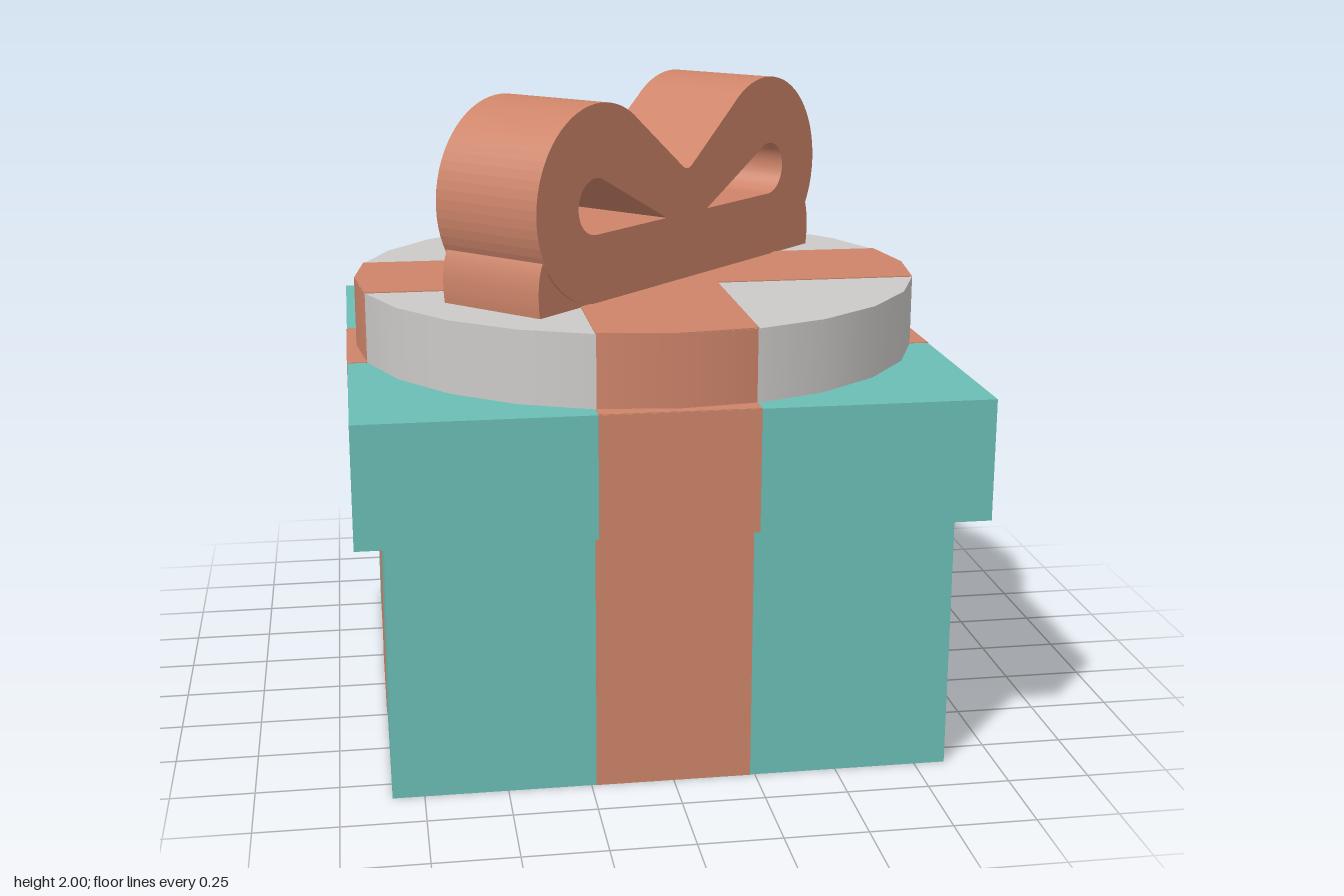
import * as THREE from 'three';

const teal = new THREE.MeshStandardMaterial({ color: 0x6bbdb5 });
teal.name = 'teal paper';
const coral = new THREE.MeshStandardMaterial({ color: 0xcd8469 });
coral.name = 'coral ribbon';
const grey = new THREE.MeshStandardMaterial({ color: 0xcccac8 });
grey.name = 'pale grey';

const R = 0.9, STRIPE = 0.47, T = 0.004;

function add(parent, name, geometry, material, x = 0, y = 0, z = 0) {
  const mesh = new THREE.Mesh(geometry, material);
  mesh.name = name;
  mesh.position.set(x, y, z);
  parent.add(mesh);
  return mesh;
}

function box(parent, name, material, half, y0, y1) {
  return add(parent, name, new THREE.BoxGeometry(half * 2, y1 - y0, half * 2), material, 0, (y0 + y1) / 2, 0);
}

// Extrudes a profile with its depth centred on z = 0
function slab(shape, depth) {
  const g = new THREE.ExtrudeGeometry(shape, { depth, bevelEnabled: false, curveSegments: 20 });
  return g.translate(0, 0, -depth / 2);
}

function bowShape() {
  const s = new THREE.Shape();
  const a = THREE.MathUtils.degToRad(130);
  s.moveTo(-0.45, 1.4);
  s.lineTo(0.45, 1.4);
  s.absarc(0.45, 1.7, 0.3, -Math.PI / 2, a, false);
  s.lineTo(0.03, 1.765);
  s.quadraticCurveTo(0, 1.74, -0.03, 1.765);
  s.absarc(-0.45, 1.7, 0.3, Math.PI - a, Math.PI * 1.5, false);
  // Teardrop openings of the two loops
  for (const k of [1, -1]) {
    const h = new THREE.Path();
    h.moveTo(k * 0.11, 1.61);
    h.lineTo(k * 0.47, 1.61);
    if (k > 0) h.absarc(0.47, 1.695, 0.085, -Math.PI / 2, Math.PI * 0.6, false);
    else h.absarc(-0.47, 1.695, 0.085, -Math.PI / 2, Math.PI * 0.4, true);
    h.lineTo(k * 0.11, 1.61);
    s.holes.push(h);
  }
  return s;
}

function tailShape() {
  const s = new THREE.Shape();
  s.moveTo(-0.73, 1.4);
  s.lineTo(0.73, 1.4);
  s.quadraticCurveTo(0.75, 1.53, 0.69, 1.6);
  s.lineTo(-0.69, 1.6);
  s.quadraticCurveTo(-0.75, 1.53, -0.73, 1.4);
  return s;
}

export function createModel() {
  const root = new THREE.Group();
  root.name = 'giftBox';

  // Box and lid
  box(root, 'body', teal, 0.845, 0, 0.81);
  box(root, 'lid', teal, 0.93, 0.81, 1.18);

  // Ribbon stripes on the four sides, the lid rim and the disc wall
  for (let i = 0; i < 4; i++) {
    const side = new THREE.Group();
    side.name = 'ribbonSide' + (i + 1);
    side.rotation.y = i * Math.PI / 2;
    root.add(side);
    add(side, 'bodyRibbon', new THREE.BoxGeometry(STRIPE, 0.81, T), coral, 0, 0.405, 0.845);
    add(side, 'lidRibbon', new THREE.BoxGeometry(STRIPE, 0.37, T), coral, 0, 0.995, 0.93);
    add(side, 'lidTopRibbon', new THREE.BoxGeometry(STRIPE, T, 0.13), coral, 0, 1.18, 0.865);
    const step = Math.PI / 12;
    add(side, 'discRibbon', new THREE.CylinderGeometry(R, R, 0.22, 2, 1, true, -step, step * 2), coral, 0, 1.29, 0);
    add(side, 'discWall', new THREE.CylinderGeometry(R, R, 0.22, 4, 1, true, step, step * 4), grey, 0, 1.29, 0);
  }

  // Disc top with a crossed ribbon
  const top = add(root, 'discTop', new THREE.CircleGeometry(R, 24), grey, 0, 1.4, 0);
  top.rotation.x = -Math.PI / 2;
  const cross = new THREE.Shape();
  const w = STRIPE / 2, e = 0.868;
  const pts = [];
  for (let i = 0; i < 4; i++) {
    const c = Math.round(Math.cos(i * Math.PI / 2)), s = Math.round(Math.sin(i * Math.PI / 2));
    for (const [x, y] of [[w, -w], [e, -w], [R, 0], [e, w]])
      pts.push(new THREE.Vector2(x * c - y * s, x * s + y * c));
  }
  cross.setFromPoints(pts);
  const crossMesh = add(root, 'discCross', slab(cross, T), coral, 0, 1.401, 0);
  crossMesh.rotation.x = -Math.PI / 2;

  // Bow set diagonally on the disc
  const bow = new THREE.Group();
  bow.name = 'bow';
  bow.position.set(0.015, 0, 0.015);
  bow.rotation.y = Math.PI / 4;
  root.add(bow);
  add(bow, 'bowLoops', slab(bowShape(), 0.385), coral);
  add(bow, 'bowTails', slab(tailShape(), 0.37), coral);

  return root;
}
